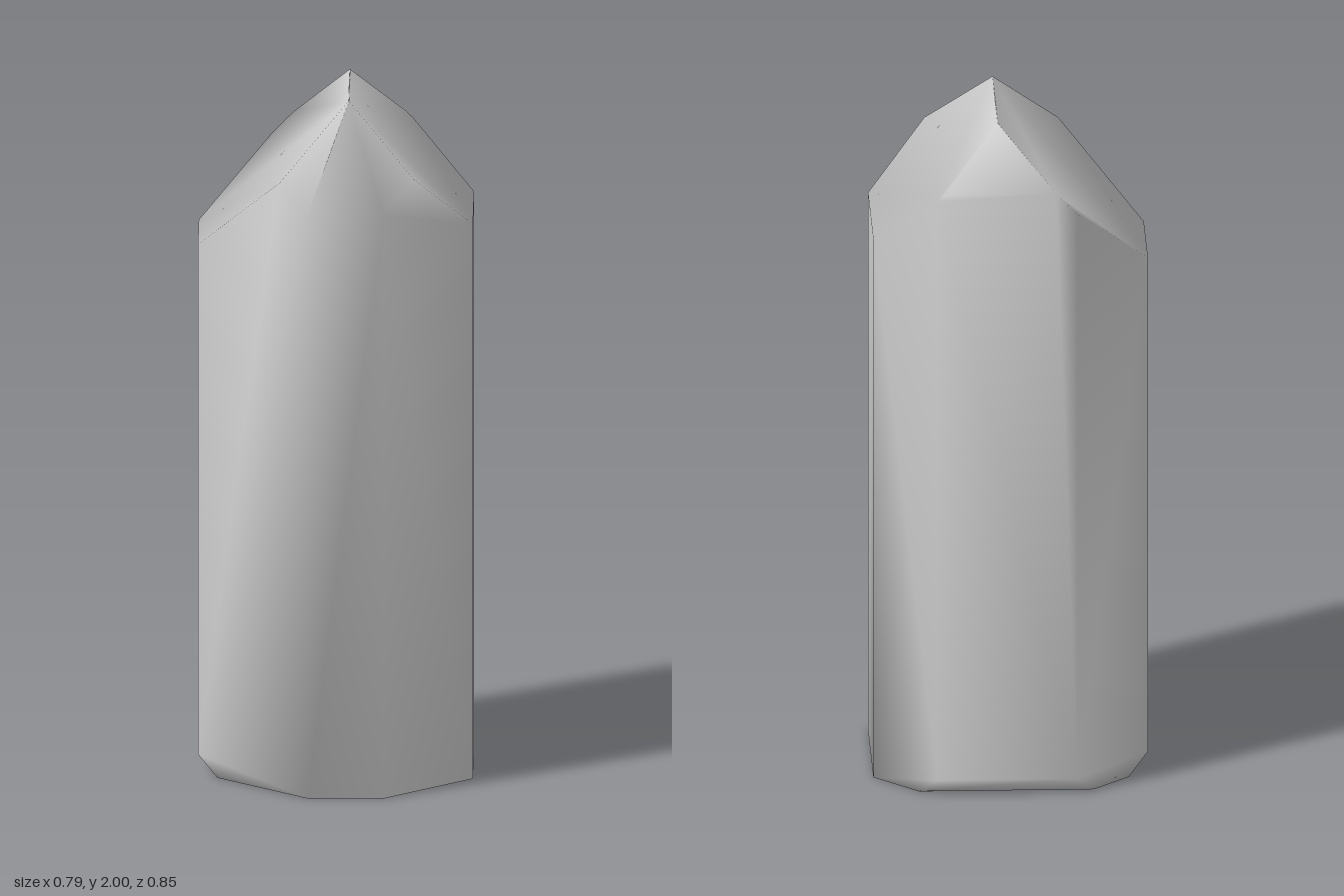
import * as THREE from 'three';
import { ConvexGeometry } from 'three/addons/geometries/ConvexGeometry.js';
import { mergeVertices } from 'three/addons/utils/BufferGeometryUtils.js';

// Cutting planes of the crystal: nx*x + ny*y + nz*z <= d
const CUTS = [
  // upright sides
  [1, 0, 0, 0.397], [-1, 0, 0, 0.397], [0, 0, 1, 0.423], [0, 0, -1, 0.423],
  [1, 0, 1, 0.564], [1, 0, -1, 0.643], [-1, 0, 1, 0.502], [-1, 0, -1, 0.608],
  // roof slopes
  [1, 1, 0, 2.04], [-1, 1, 0, 1.963], [0, 1, 1, 2.147], [0, 1, -1, 2.262], [0, 1, 0, 2],
  // base and its two bevels
  [0, -1, 0, 0], [-1, -1, 0, 0.34], [0, -1, -1, 0.373],
];

// Corners of the solid: every meeting point of three planes that no other plane cuts off
function cornersOf(cuts) {
  const planes = cuts.map(([x, y, z, d]) => ({ n: new THREE.Vector3(x, y, z), d }));
  const corners = [];
  for (let i = 0; i < planes.length; i++)
    for (let j = i + 1; j < planes.length; j++)
      for (let k = j + 1; k < planes.length; k++) {
        const [a, b, c] = [planes[i], planes[j], planes[k]];
        const bc = b.n.clone().cross(c.n);
        const det = a.n.dot(bc);
        if (Math.abs(det) < 1e-6) continue;
        const p = bc.multiplyScalar(a.d)
          .addScaledVector(c.n.clone().cross(a.n), b.d)
          .addScaledVector(a.n.clone().cross(b.n), c.d)
          .divideScalar(det);
        const inside = planes.every((q) => q.n.dot(p) <= q.d + 1e-6);
        if (inside && !corners.some((q) => q.distanceTo(p) < 0.003)) corners.push(p);
      }
  return corners;
}

export function createModel() {
  const group = new THREE.Group();
  group.name = 'crystal';

  // Shared corners give soft shading across the facets
  let geometry = new ConvexGeometry(cornersOf(CUTS));
  geometry.deleteAttribute('normal');
  geometry = mergeVertices(geometry, 1e-4);
  geometry.computeVertexNormals();

  const shard = new THREE.Mesh(geometry, new THREE.MeshStandardMaterial({ color: 0xcccccc }));
  shard.name = 'crystalBody';
  group.add(shard);
  return group;
}
